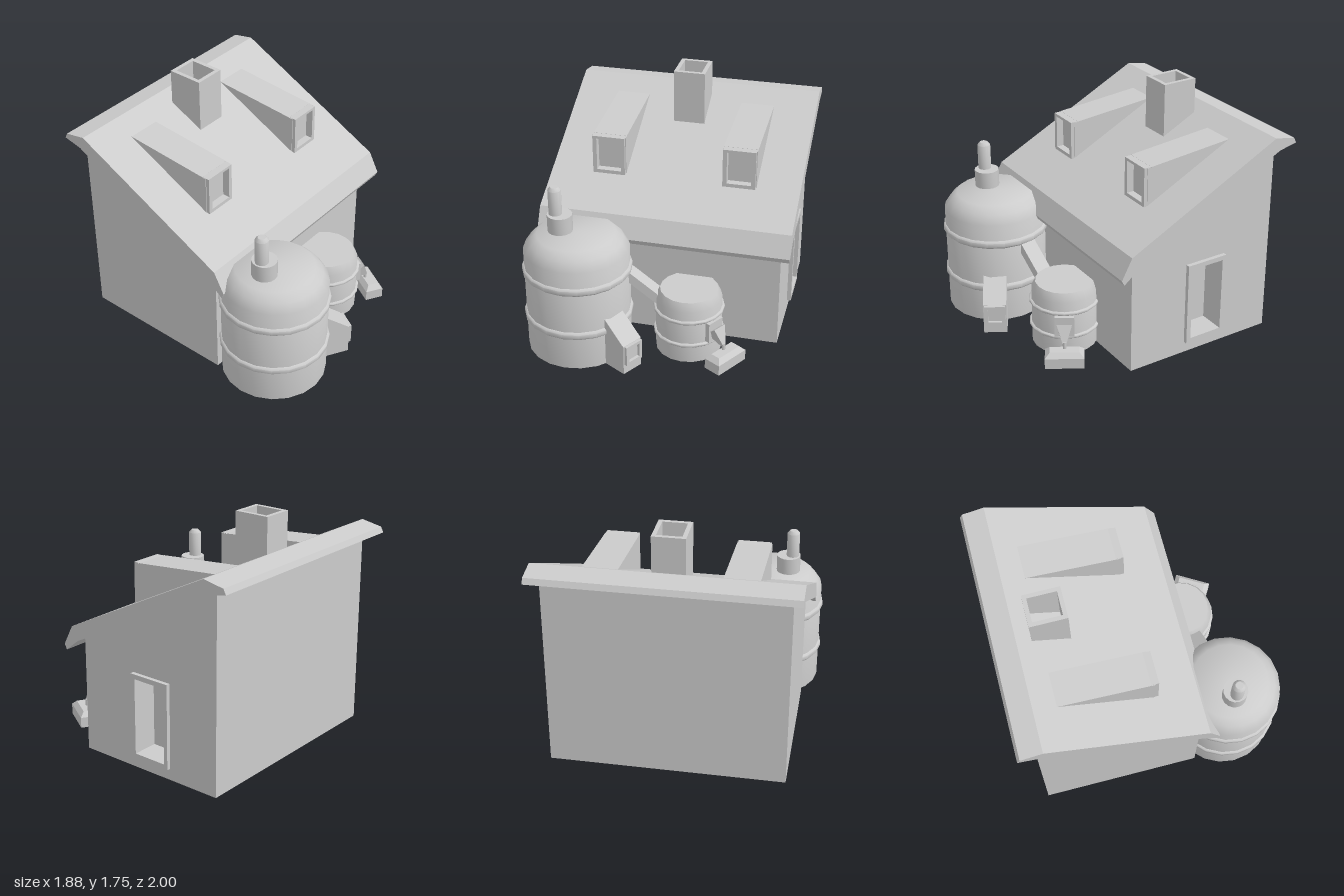
import * as THREE from 'three';
import { toCreasedNormals } from 'three/addons/utils/BufferGeometryUtils.js';

const material = new THREE.MeshStandardMaterial({ color: 0xcccccc });

function add(parent, name, geometry) {
  const mesh = new THREE.Mesh(geometry, material);
  mesh.name = name;
  parent.add(mesh);
  return mesh;
}

const polygon = (points) => new THREE.Shape(points.map(([x, y]) => new THREE.Vector2(x, y)));
const rect = (x0, x1, y0, y1) => polygon([[x0, y0], [x1, y0], [x1, y1], [x0, y1]]);

function extrude(shape, depth) {
  return new THREE.ExtrudeGeometry(shape, { depth, bevelEnabled: false });
}

// Rectangle with a rectangular hole, given as [x0, x1, y0, y1]
function frame(outer, inner) {
  const shape = rect(...outer);
  shape.holes.push(rect(...inner));
  return shape;
}

// Side profile of [z, y] points, run along x from x0 to x1
function alongX(points, x0, x1, hole) {
  const shape = polygon(points.map(([z, y]) => [-z, y]));
  if (hole) shape.holes.push(rect(...hole));
  return extrude(shape, x1 - x0).rotateY(Math.PI / 2).translate(x0, 0, 0);
}

function lathe(points, sides) {
  const profile = points.map(([r, y]) => new THREE.Vector2(r, y));
  return toCreasedNormals(new THREE.LatheGeometry(profile, sides), 0.8);
}

// Box whose end face is resized and shifted: vertices above the middle follow the rule
function taperedBox(w, h, d, sx, sz, dx = 0) {
  const geometry = new THREE.BoxGeometry(w, h, d).toNonIndexed();
  const p = geometry.attributes.position;
  for (let i = 0; i < p.count; i++) {
    if (p.getY(i) > 0) p.setXYZ(i, p.getX(i) * sx + dx, p.getY(i), p.getZ(i) * sz);
  }
  geometry.computeVertexNormals();
  return geometry;
}

// Tank body with raised bands
function tank(name, x, z, profile, sides, bandRadius, bandHeight, bandYs) {
  const group = new THREE.Group();
  group.name = name;
  group.position.set(x, 0, z);
  add(group, name + 'Body', lathe(profile, sides));
  const r = bandRadius, h = bandHeight / 2, e = bandHeight * 0.25;
  for (const y of bandYs) {
    add(group, name + 'Band', lathe(
      [[r - 0.03, y - h], [r - e, y - h], [r, y - h + e], [r, y + h - e], [r - e, y + h], [r - 0.03, y + h]], sides));
  }
  return group;
}

function createHouse() {
  const house = new THREE.Group();
  house.name = 'house';

  // Walls: solid block plus an outer layer with the side window opening
  const wall = [[0.31, 0], [-0.87, 0], [-0.87, 1.45], [0.31, 0.87]];
  const opening = [0.18, 0.44, 0.12, 0.68];
  add(house, 'walls', alongX(wall, -0.83, 0.7));
  add(house, 'windowWall', alongX(wall, 0.7, 0.865, opening));
  add(house, 'sideWindowFrame',
    extrude(frame([0.145, 0.47, 0.085, 0.715], opening), 0.035).rotateY(Math.PI / 2).translate(0.86, 0, 0));

  // Sloping roof with turned-down eaves
  add(house, 'roof', alongX(
    [[0.42, 0.76], [0.44, 0.8], [0.36, 0.95], [-0.82, 1.54], [-0.98, 1.51], [-1, 1.47], [-0.86, 1.44], [0.31, 0.85]],
    -0.9, 0.94));

  // Open chimney with a floor inside
  add(house, 'chimney',
    extrude(frame([-0.1, 0.135, 0.445, 0.715], [-0.07, 0.105, 0.475, 0.685]), 0.4)
      .rotateX(-Math.PI / 2).translate(0, 1.35, 0));

  // Two dormers with recessed windows
  for (const x of [-0.465, 0.5]) {
    const dormer = new THREE.Group();
    dormer.name = 'dormer';
    dormer.position.x = x;
    add(dormer, 'dormerBody',
      alongX([[0, 1.05], [0, 1.403], [-0.67, 1.46], [-0.67, 1.38]], -0.125, 0.125));
    add(dormer, 'dormerWindowFrame',
      extrude(frame([-0.12, 0.12, 1.11, 1.402], [-0.09, 0.09, 1.137, 1.382]), 0.055));
    add(dormer, 'dormerSurround',
      extrude(frame([-0.125, 0.125, 1.06, 1.4], [-0.09, 0.09, 1.137, 1.382]), 0.03));
    house.add(dormer);
  }
  return house;
}

function createLargeTank() {
  const group = tank('largeTank', -0.55, 0.605,
    [[0, 0.01], [0.378, 0.01], [0.378, 0.8], [0.335, 0.865], [0.28, 0.915], [0, 0.915]],
    20, 0.393, 0.06, [0.645, 0.285]);

  // Stepped vent on top
  add(group, 'ventCollar', lathe([[0, 0.88], [0.09, 0.88], [0.09, 1.043], [0, 1.043]], 16))
    .position.x = -0.115;
  add(group, 'ventPipe',
    lathe([[0, 1], [0.048, 1], [0.048, 1.23], [0.028, 1.252], [0, 1.252]], 12)).position.x = -0.145;

  // Sloped firebox with a framed door
  const firebox = new THREE.Group();
  firebox.name = 'firebox';
  firebox.rotation.y = -0.53;
  add(firebox, 'fireboxBody',
    extrude(polygon([[0.28, 0.01], [0.55, 0.01], [0.55, 0.24], [0.365, 0.385], [0.28, 0.385]]), 0.17)
      .translate(0, 0, -0.085));
  add(firebox, 'fireboxDoorFrame',
    extrude(frame([-0.075, 0.075, 0.085, 0.238], [-0.05, 0.05, 0.107, 0.216]), 0.025)
      .rotateY(Math.PI / 2).translate(0.548, 0, 0));
  group.add(firebox);
  return group;
}

function createSmallTank() {
  const group = tank('smallTank', 0.24, 0.475,
    [[0, 0.01], [0.24, 0.01], [0.24, 0.43], [0.21, 0.492], [0, 0.492]],
    18, 0.257, 0.026, [0.345, 0.155]);

  // Tap plate, tapering spout and trough
  const tap = new THREE.Group();
  tap.name = 'tap';
  tap.rotation.y = -0.54;
  add(tap, 'tapPlate', new THREE.BoxGeometry(0.07, 0.155, 0.14)).position.set(0.23, 0.25, 0);
  const spout = add(tap, 'spout', taperedBox(0.1, 0.13, 0.11, 0.25, 0.25));
  spout.position.set(0.3, 0.21, 0);
  spout.rotation.z = -2.5;
  add(tap, 'spoutTip', new THREE.CylinderGeometry(0.013, 0.013, 0.05, 8)).position.set(0.342, 0.15, 0);
  add(tap, 'troughBase', new THREE.BoxGeometry(0.135, 0.08, 0.28)).position.set(0.36, 0.05, 0);
  add(tap, 'troughTop', taperedBox(0.135, 0.035, 0.28, 0.55, 0.75)).position.set(0.36, 0.1075, 0);
  group.add(tap);
  return group;
}

export function createModel() {
  const model = new THREE.Group();
  model.name = 'distillery';
  model.add(createHouse(), createLargeTank(), createSmallTank());

  // Sloping duct between the tanks
  const from = new THREE.Vector3(-0.24, 0.635, 0.545);
  const to = new THREE.Vector3(0.07, 0.375, 0.505);
  const duct = add(model, 'connectingDuct', new THREE.BoxGeometry(0.12, 0.065, from.distanceTo(to)));
  duct.position.copy(from).lerp(to, 0.5);
  duct.lookAt(to);
  return model;
}
